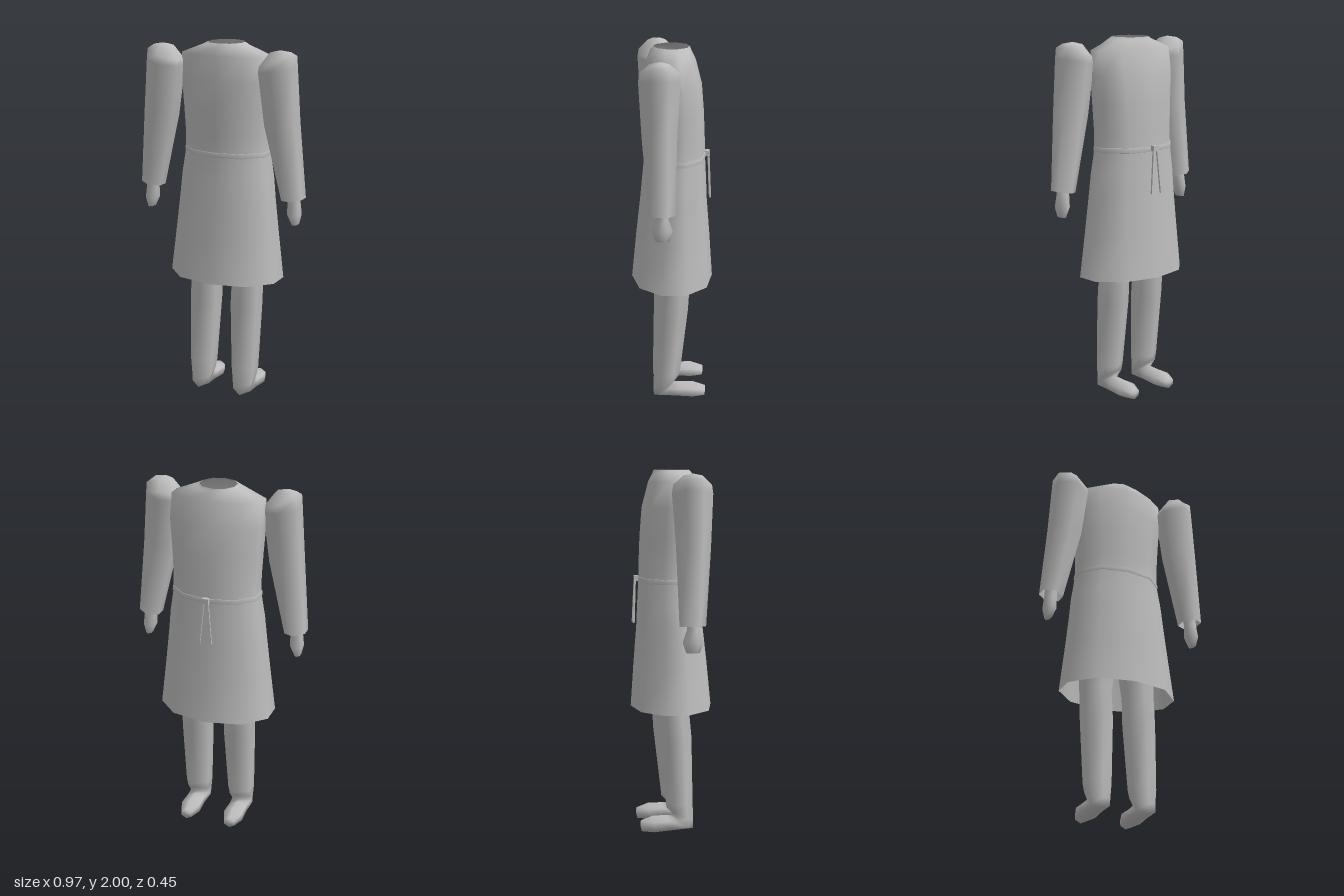
import * as THREE from 'three';

const cloth = new THREE.MeshStandardMaterial({ color: 0xbcbcbc, side: THREE.DoubleSide });
cloth.name = 'plain grey';

// Cross-sections, counted from +z towards +x
const HEX = [[0, 1], [1, 0.45], [1, -0.45], [0, -1], [-1, -0.45], [-1, 0.45]];
const BODY = [[0, 1], [0.63, 0.82], [1, 0.28], [1, -0.3], [0.63, -0.82],
  [0, -1], [-0.63, -0.82], [-1, -0.3], [-1, 0.28], [-0.63, 0.82]];

// Smooth skin over rings; each ring is
// [centre x, y and z of its front, y and z of its back, half width, rise at +x]
function loft(name, section, rings) {
  const n = section.length, pos = [], index = [];
  for (const [cx, yf, zf, yb, zb, hx, rise = 0] of rings) {
    for (const [px, pz] of section) {
      const t = (1 + pz) / 2;
      pos.push(cx + px * hx, yb + (yf - yb) * t + px * rise, zb + (zf - zb) * t);
    }
  }
  for (let k = 0; k < rings.length - 1; k++) {
    for (let i = 0; i < n; i++) {
      const a = k * n + i, b = k * n + (i + 1) % n;
      index.push(a, a + n, b, b, a + n, b + n);
    }
  }
  const geo = new THREE.BufferGeometry();
  geo.setAttribute('position', new THREE.Float32BufferAttribute(pos, 3));
  geo.setIndex(index);
  geo.computeVertexNormals();
  const mesh = new THREE.Mesh(geo, cloth);
  mesh.name = name;
  return mesh;
}

// Level ring
const level = (cx, y, zf, zb, hx, rise = 0) => [cx, y, zf, y, zb, hx, rise];

export function createModel() {
  const model = new THREE.Group();
  model.name = 'gownedFigure';

  // Gown, open at neck and hem
  model.add(loft('gown', BODY, [
    level(0, 2.0, 0.1, -0.095, 0.097),
    level(0, 1.985, 0.115, -0.1, 0.125),
    level(0, 1.935, 0.135, -0.125, 0.25),
    level(0, 1.8, 0.15, -0.16, 0.255),
    level(0, 1.65, 0.155, -0.172, 0.243),
    level(0, 1.5, 0.152, -0.178, 0.235),
    level(0, 1.4, 0.152, -0.18, 0.236),
    level(0, 1.27, 0.165, -0.187, 0.256),
    level(0, 1.15, 0.177, -0.192, 0.267),
    level(0, 0.95, 0.2, -0.208, 0.288),
    level(0, 0.7, 0.225, -0.225, 0.317),
  ]));

  // Narrow waist band
  model.add(loft('waistBand', BODY, [
    level(0, 1.42, 0.152, -0.181, 0.235),
    level(0, 1.418, 0.156, -0.185, 0.239),
    level(0, 1.395, 0.157, -0.186, 0.241),
    level(0, 1.393, 0.152, -0.181, 0.236),
  ]));

  // Knot of the waist ties
  const knot = new THREE.Mesh(new THREE.BoxGeometry(0.035, 0.03, 0.025), cloth);
  knot.name = 'tieKnot';
  knot.position.set(0, 1.412, -0.193);
  model.add(knot);

  for (const s of [1, -1]) {
    const side = s > 0 ? 'left' : 'right';

    // Hanging tie
    const tie = new THREE.Mesh(new THREE.BoxGeometry(0.012, 0.25, 0.01), cloth);
    tie.name = side + 'Tie';
    tie.position.set(s * 0.022, 1.292, -0.204);
    tie.rotation.set(0.04, 0, s * 0.09);
    model.add(tie);

    // Sleeve with a rounded shoulder and open cuff
    model.add(loft(side + 'Sleeve', HEX, [
      level(s * 0.345, 1.982, 0.076, 0.074, 0.002),
      level(s * 0.345, 1.972, 0.125, 0.025, 0.05, s * 0.002),
      level(s * 0.332, 1.925, 0.176, -0.028, 0.088, s * 0.028),
      level(s * 0.332, 1.88, 0.183, -0.034, 0.092, s * 0.015),
      level(s * 0.361, 1.6, 0.168, -0.016, 0.086, s * 0.01),
      level(s * 0.427, 1.193, 0.134, -0.006, 0.058, s * 0.008),
    ]));

    // Mitten-like hand
    model.add(loft(side + 'Hand', HEX, [
      level(s * 0.424, 1.26, 0.098, 0.03, 0.03),
      level(s * 0.43, 1.18, 0.095, 0.033, 0.032),
      level(s * 0.434, 1.11, 0.12, 0.01, 0.032),
      level(s * 0.44, 1.057, 0.1, 0.028, 0.016),
      level(s * 0.44, 1.055, 0.065, 0.063, 0.001),
    ]));

    // Leg, bending at the heel into the foot
    model.add(loft(side + 'Leg', HEX, [
      level(s * 0.113, 1.0, 0.085, -0.1, 0.098),
      level(s * 0.118, 0.85, 0.085, -0.1, 0.09),
      level(s * 0.127, 0.7, 0.085, -0.095, 0.078),
      level(s * 0.126, 0.54, 0.1, -0.085, 0.079),
      level(s * 0.13, 0.17, 0.107, -0.042, 0.068),
      [s * 0.13, 0.07, 0.11, 0.145, -0.04, 0.06],
      [s * 0.131, 0.02, 0.108, 0.1, 0.0, 0.054],
      [s * 0.132, 0.012, 0.0, 0.1, -0.04, 0.05],
      [s * 0.132, 0.003, -0.11, 0.1, -0.115, 0.054],
      [s * 0.132, 0.012, -0.178, 0.075, -0.183, 0.03],
      [s * 0.132, 0.04, -0.185, 0.042, -0.185, 0.001],
    ]));
  }
  return model;
}
